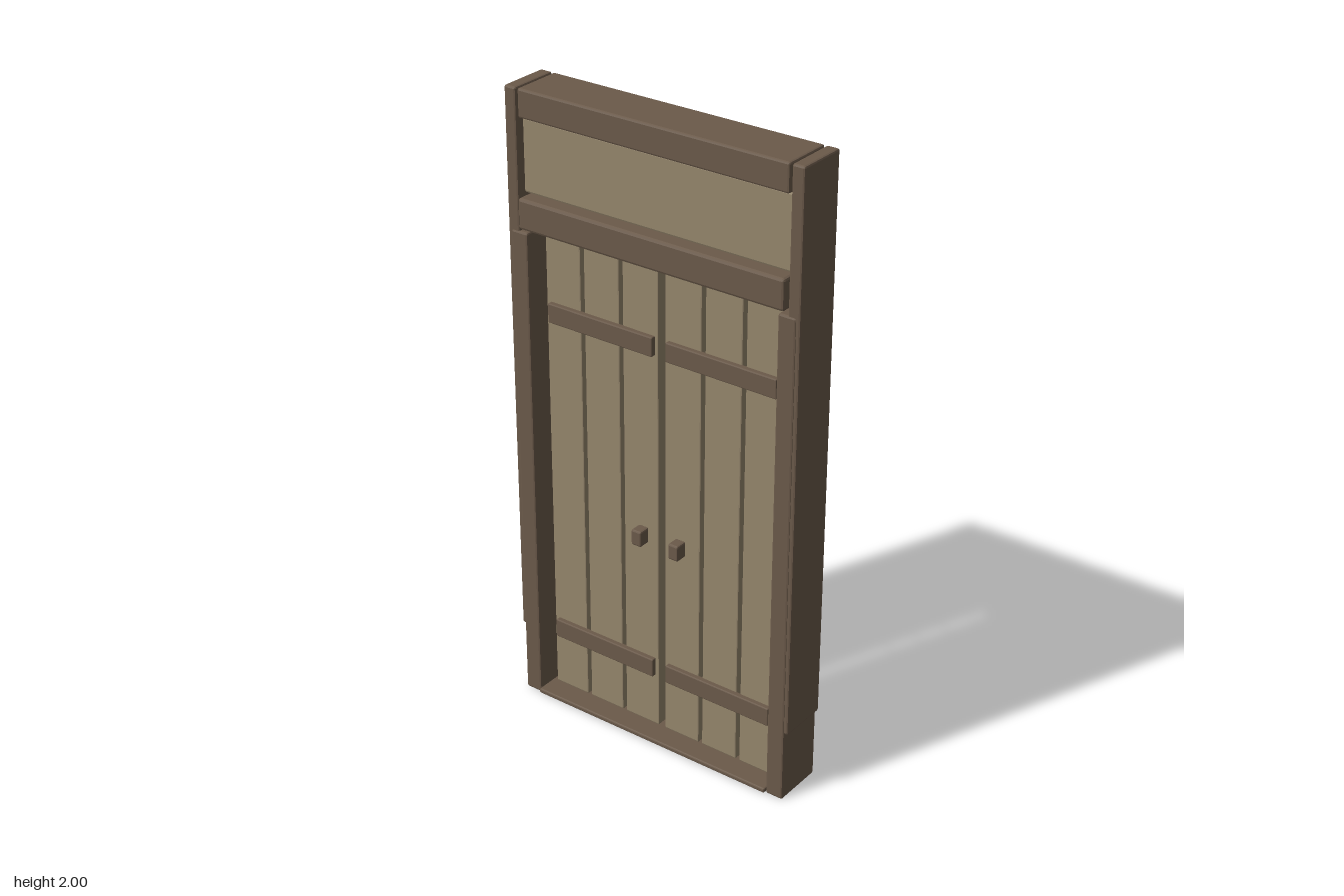
import * as THREE from 'three';
import { RoundedBoxGeometry } from 'three/addons/geometries/RoundedBoxGeometry.js';

export function createModel() {
  const model = new THREE.Group();
  model.name = 'doubleDoor';
  const darkWood = new THREE.MeshStandardMaterial({ name: 'darkWood', color: 0x6b5a4a, flatShading: true });
  const lightWood = new THREE.MeshStandardMaterial({ name: 'lightWood', color: 0x95866c, flatShading: true });

  // Chamfered beam given by its x, y and z ranges
  function beam(name, material, [x0, x1], [y0, y1], [z0, z1], bevel = 0.006) {
    const geometry = new RoundedBoxGeometry(x1 - x0, y1 - y0, z1 - z0, 1, bevel);
    const mesh = new THREE.Mesh(geometry, material);
    mesh.position.set((x0 + x1) / 2, (y0 + y1) / 2, (z0 + z1) / 2);
    mesh.name = name;
    model.add(mesh);
  }
  const mirrored = (a, b, s) => (s > 0 ? [a, b] : [-b, -a]);

  // Frame: top rail, lintel, sill and the panel over the doors
  beam('topRail', darkWood, [-0.453, 0.453], [1.913, 2], [-0.081, 0.081]);
  beam('transomPanel', lightWood, [-0.455, 0.455], [1.685, 1.91], [-0.06, 0.06]);
  beam('lintel', darkWood, [-0.453, 0.453], [1.583, 1.678], [-0.093, 0.093], 0.008);
  beam('sill', darkWood, [-0.43, 0.43], [0.003, 0.018], [-0.093, 0.093], 0.004);

  for (const s of [1, -1]) {
    const side = s > 0 ? 'left' : 'right';

    // Outer post and the jamb inside it
    beam(side + 'OuterPost', darkWood, mirrored(0.46, 0.5, s), [0.235, 2], [-0.081, 0.081]);
    beam(side + 'Jamb', darkWood, mirrored(0.43, 0.488, s), [0, 1.572], [-0.084, 0.084]);

    // Door leaf of three planks with gaps between
    for (let i = 0; i < 3; i++) {
      const x = 0.012 + i * 0.1385;
      beam(side + 'Plank' + (i + 1), lightWood, mirrored(x, x + 0.126, s), [0.018, 1.572], [-0.022, 0.022], 0.004);
    }

    // Battens and knob on both faces
    for (const f of [1, -1]) {
      const face = f > 0 ? 'Front' : 'Back';
      for (const [label, y] of [['Lower', 0.2], ['Upper', 1.285]]) {
        beam(side + face + label + 'Batten', darkWood, mirrored(0.024, 0.4, s), [y, y + 0.061], mirrored(0.018, 0.038, f), 0.003);
      }
      beam(side + face + 'Knob', darkWood, mirrored(0.05, 0.085, s), [0.66, 0.711], mirrored(0.018, 0.06, f), 0.005);
    }
  }
  return model;
}
